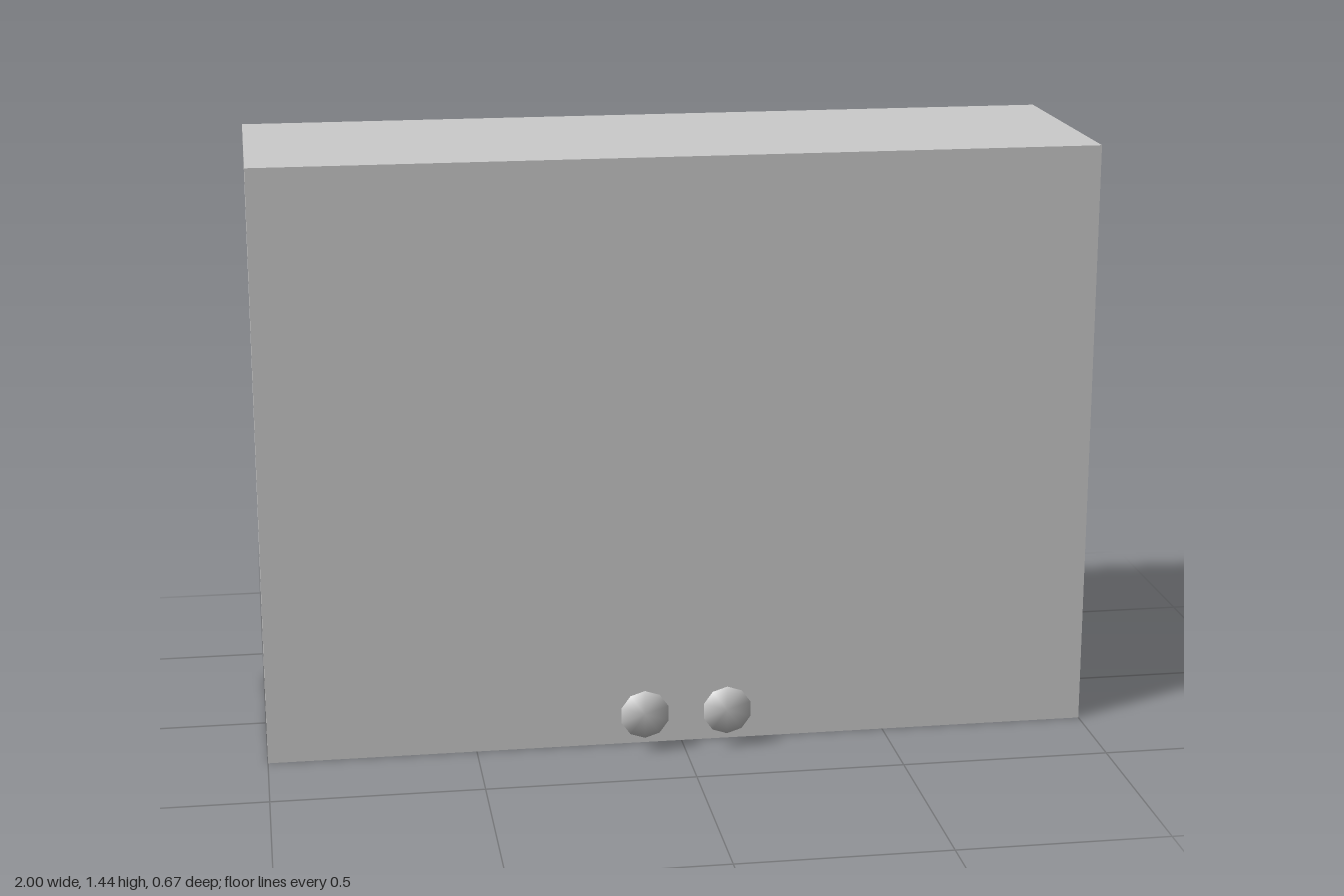
import * as THREE from 'three';

const W = 2, H = 1.44, D = 0.6, Z0 = -0.335, Z1 = 0.265; // outer shell
const GAP = 0.04; // distance between the shell and the inner box

export function createModel() {
  const model = new THREE.Group();
  const solid = new THREE.MeshStandardMaterial({ color: 0xcccccc });
  const sheet = new THREE.MeshStandardMaterial({ color: 0xcccccc, side: THREE.DoubleSide });
  const midZ = (Z0 + Z1) / 2;

  // Thin outer shell, open at the back
  const shell = new THREE.Group();
  shell.name = 'shell';
  const addSheet = (name, w, h, pos, rx, ry) => {
    const mesh = new THREE.Mesh(new THREE.PlaneGeometry(w, h), sheet);
    mesh.name = name;
    mesh.position.set(...pos);
    mesh.rotation.set(rx, ry, 0);
    shell.add(mesh);
  };
  addSheet('frontPanel', W, H, [0, H / 2, Z1], 0, 0);
  addSheet('topPanel', W, D, [0, H, midZ], -Math.PI / 2, 0);
  addSheet('bottomPanel', W, D, [0, 0, midZ], Math.PI / 2, 0);
  addSheet('leftPanel', D, H, [W / 2, H / 2, midZ], 0, Math.PI / 2);
  addSheet('rightPanel', D, H, [-W / 2, H / 2, midZ], 0, -Math.PI / 2);
  model.add(shell);

  // Inner box, set in from the shell and recessed at the back
  const inner = new THREE.Mesh(
    new THREE.BoxGeometry(W - 2 * GAP, H - 2 * GAP, D - 2 * GAP), solid);
  inner.name = 'innerBox';
  inner.position.set(0, H / 2, midZ);
  model.add(inner);

  // Pair of flared knobs low on the front
  const profile = [[0.023, 0], [0.023, 0.04], [0.06, 0.072], [0, 0.072]]
    .map(([r, y]) => new THREE.Vector2(r, y));
  const knobGeometry = new THREE.LatheGeometry(profile, 10);
  for (const side of [1, -1]) {
    const knob = new THREE.Mesh(knobGeometry, solid);
    knob.name = side > 0 ? 'leftKnob' : 'rightKnob';
    knob.position.set(side * 0.1, 0.1, Z1);
    knob.rotation.x = Math.PI / 2;
    model.add(knob);
  }
  return model;
}
